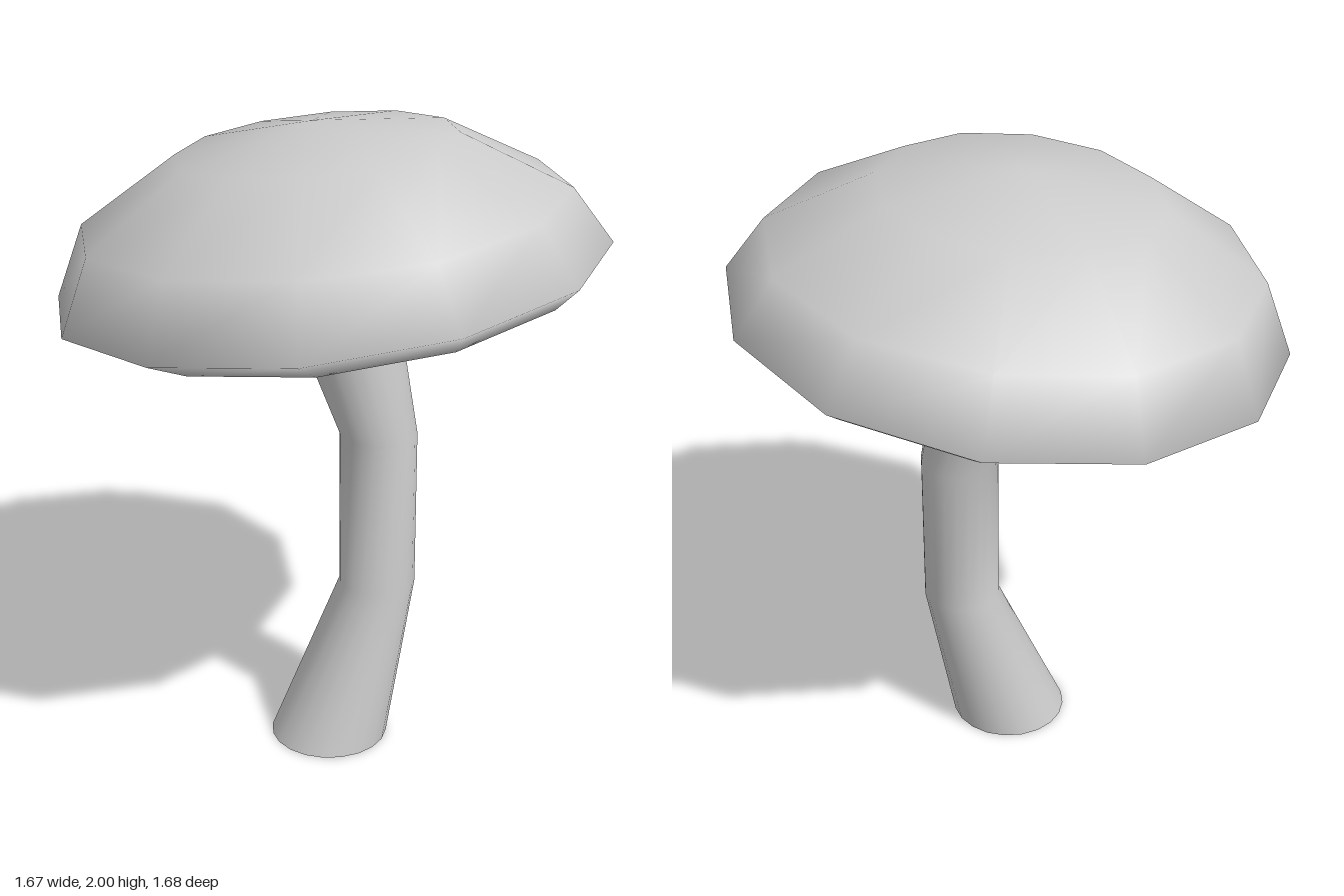
import * as THREE from 'three';

// Smooth skin over rings [x, y, z, radius, tilt], bottom to top; radius 0 makes a pole.
function loft(rings, sides) {
  const pos = [], idx = [], rows = [];
  for (const [cx, cy, cz, r, tilt = 0] of rings) {
    const count = r === 0 ? 1 : sides;
    const start = pos.length / 3;
    for (let i = 0; i < count; i++) {
      const a = (i / sides) * Math.PI * 2;
      const u = r * Math.cos(a);
      pos.push(cx + u * Math.cos(tilt), cy + u * Math.sin(tilt), cz + r * Math.sin(a));
    }
    rows.push((i) => start + (i % count));
  }
  for (let k = 0; k < rows.length - 1; k++) {
    const lo = rows[k], hi = rows[k + 1];
    for (let i = 0; i < sides; i++) {
      if (rings[k][3] > 0) idx.push(lo(i), hi(i), lo(i + 1));
      if (rings[k + 1][3] > 0) idx.push(lo(i + 1), hi(i), hi(i + 1));
    }
  }
  const g = new THREE.BufferGeometry();
  g.setAttribute('position', new THREE.Float32BufferAttribute(pos, 3));
  g.setIndex(idx);
  g.computeVertexNormals();
  return g;
}

export function createModel() {
  const group = new THREE.Group();
  const material = new THREE.MeshStandardMaterial({ color: 0xcccccc });
  const add = (name, geometry) => {
    const mesh = new THREE.Mesh(geometry, material);
    mesh.name = name;
    group.add(mesh);
    return mesh;
  };

  // Twelve-sided cap, leaning down towards -x
  add('cap', loft([
    [0.08, 1.425, 0, 0],
    [0.07, 1.44, 0, 0.414, 0.133],
    [0.035, 1.485, 0, 0.731, 0.131],
    [0, 1.55, 0, 0.842, 0.131],
    [-0.02, 1.745, 0, 0.735, 0.103],
    [-0.04, 1.932, 0, 0.422, 0.101],
    [-0.05, 2, 0, 0],
  ], 12));

  // Bent stem, flaring at the foot and where it meets the cap
  add('stem', loft([
    [0.005, 0, 0.075, 0.187],
    [0.152, 0.52, 0.002, 0.121],
    [0.152, 1.03, 0, 0.121],
    [0.015, 1.5, -0.04, 0.178],
  ], 20));

  // Flat underside of the stem
  const foot = add('stemFoot', new THREE.CircleGeometry(0.187, 20));
  foot.rotation.x = Math.PI / 2;
  foot.position.set(0.005, 0, 0.075);

  return group;
}
